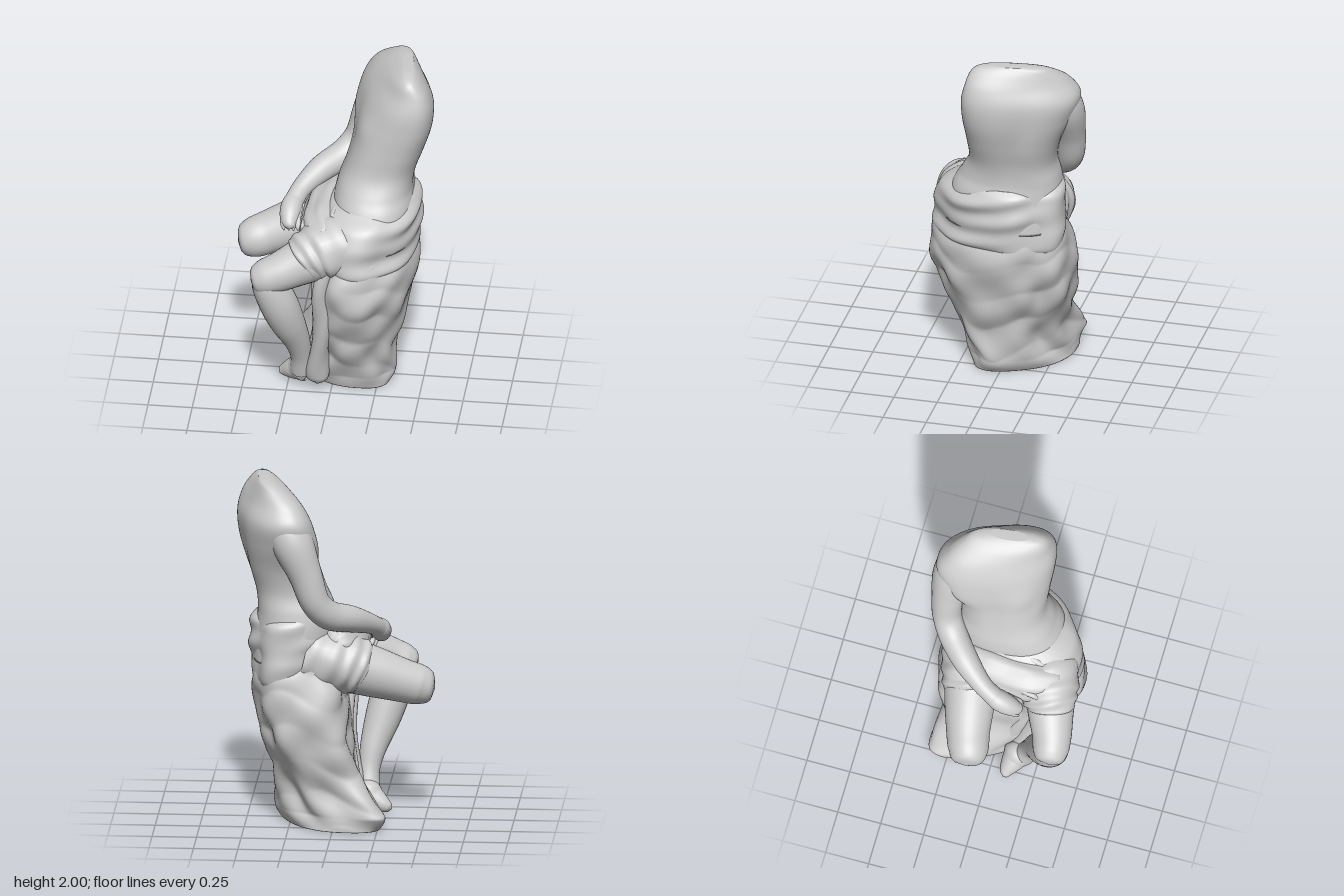
import * as THREE from 'three';
import { mergeVertices } from 'three/addons/utils/BufferGeometryUtils.js';

const material = new THREE.MeshStandardMaterial({ color: 0xcccccc, side: THREE.DoubleSide });
const { sin, cos, abs, sign, sqrt, exp, PI } = Math;
const bump = (d, w) => exp(-(d * d) / (w * w));
// Soft bump around a direction (wraps around the circle)
const lobe = (a, centre, w) => bump(Math.atan2(sin(a - centre), cos(a - centre)), w);

// Smooth interpolation through rows of numbers, t from 0 to 1
function sample(rows, t) {
  const f = t * (rows.length - 1), i = Math.min(Math.floor(f), rows.length - 2), u = f - i;
  const at = k => rows[Math.max(0, Math.min(rows.length - 1, k))];
  return rows[0].map((_, k) => {
    const a = at(i - 1)[k], b = at(i)[k], c = at(i + 1)[k], d = at(i + 2)[k];
    return b + 0.5 * u * (c - a + u * (2 * a - 5 * b + 4 * c - d + u * (3 * (b - c) + d - a)));
  });
}

// Horizontal rings [y, xMin, xMax, zMin, zMax, skew]; relief(angle, y) swells the ring
function loft(rows, relief, power = 0.9, rings = 90, sides = 96) {
  const pos = [], idx = [];
  for (let i = 0; i <= rings; i++) {
    const [y, x0, x1, z0, z1, skew] = sample(rows, i / rings);
    const rx = sqrt(Math.max(0.0004, ((x1 - x0) / 2) ** 2 - skew * skew)), rz = (z1 - z0) / 2;
    for (let j = 0; j < sides; j++) {
      const a = j / sides * 2 * PI, d = relief(a, y);
      const c = sign(cos(a)) * abs(cos(a)) ** power, s = sign(sin(a)) * abs(sin(a)) ** power;
      pos.push((x0 + x1) / 2 + (rx + d) * c + skew * s, y, (z0 + z1) / 2 + (rz + d) * s);
    }
  }
  for (let i = 0; i < rings; i++) for (let j = 0; j < sides; j++) {
    const a = i * sides + j, b = i * sides + (j + 1) % sides;
    idx.push(a, a + sides, b, a + sides, b + sides, b);
  }
  // Flat end caps
  [0, rings].forEach(i => {
    const [y, x0, x1, z0, z1] = sample(rows, i / rings), centre = pos.length / 3;
    pos.push((x0 + x1) / 2, y, (z0 + z1) / 2);
    for (let j = 0; j < sides; j++) {
      const a = i * sides + j, b = i * sides + (j + 1) % sides;
      idx.push(centre, ...(i ? [b, a] : [a, b]));
    }
  });
  const g = new THREE.BufferGeometry();
  g.setAttribute('position', new THREE.Float32BufferAttribute(pos, 3));
  g.setIndex(idx);
  g.computeVertexNormals();
  return g;
}

// Tube through points [x, y, z, radius]; relief(t, angle) swells it
function limb(points, relief = () => 0, steps = 64, sides = 32) {
  const curve = new THREE.CatmullRomCurve3(points.map(p => new THREE.Vector3(p[0], p[1], p[2])), false, 'centripetal');
  const g = new THREE.TubeGeometry(curve, steps, 1, sides, false);
  const pos = g.attributes.position, v = new THREE.Vector3();
  for (let i = 0; i <= steps; i++) {
    const c = curve.getPointAt(i / steps), t = curve.getUtoTmapping(i / steps);
    const r = Math.max(0.002, sample(points, t)[3]);
    for (let j = 0; j <= sides; j++) {
      const k = i * (sides + 1) + j;
      v.fromBufferAttribute(pos, k).sub(c).multiplyScalar(r + relief(t, j / sides * 2 * PI)).add(c);
      pos.setXYZ(k, v.x, v.y, v.z);
    }
  }
  g.deleteAttribute('uv');
  g.deleteAttribute('normal');
  const m = mergeVertices(g, 1e-5);
  m.computeVertexNormals();
  return m;
}

export function createModel() {
  const group = new THREE.Group();
  const add = (name, geometry) => {
    const mesh = new THREE.Mesh(geometry, material);
    mesh.name = name;
    group.add(mesh);
  };

  // Trims the two back corners of the seat and hips
  const trim = a => -0.045 * lobe(a, -PI / 4, 0.4) - 0.025 * lobe(a, PI / 3.2, 0.4);

  // Lumpy rock seat on a flat base, with one square corner at the front right
  const lumps = (a, y) => {
    const fade = Math.min(1, y / 0.08);
    const courses = abs(sin(16 * y + 0.9 * sin(2 * a + 1) + 0.5 * sin(5 * a) + 0.6)) - 0.6;
    const bulges = 0.013 * courses * (0.6 + 0.4 * sin(3 * a + 7 * y))
      + 0.011 * sin(4 * a + 9 * y) * sin(13 * y + 2 * a) + 0.005 * sin(7 * a - 15 * y);
    return fade * (bulges - 0.006 + trim(a)) + 0.085 * fade * lobe(a, -0.75 * PI, 0.42);
  };
  add('rock', loft([
    [0, -0.25, 0.30, -0.35, 0.18, 0.12], [0.08, -0.24, 0.34, -0.35, 0.22, 0.09],
    [0.25, -0.14, 0.35, -0.32, 0.29, 0.02], [0.45, -0.09, 0.41, -0.36, 0.37, -0.03],
    [0.65, -0.08, 0.46, -0.38, 0.44, -0.05], [0.80, -0.06, 0.48, -0.37, 0.44, -0.06],
    [0.95, 0.02, 0.45, -0.33, 0.38, -0.06],
  ], lumps, 0.82));

  // Torso leaning back, hollow along the spine, cut at neck and left shoulder
  const muscles = (a, y) => -0.012 * lobe(a, -0.1, 0.25) * bump(y - 1.5, 0.3)
    + 0.012 * (lobe(a, PI - 0.55, 0.3) + lobe(a, PI + 0.55, 0.3)) * bump(y - 1.63, 0.09)
    - 0.008 * lobe(a, PI, 0.2) * bump(y - 1.55, 0.2);
  add('torso', loft([
    [0.95, -0.02, 0.46, -0.34, 0.34, -0.02], [1.15, -0.01, 0.45, -0.34, 0.29, 0],
    [1.25, 0.01, 0.44, -0.33, 0.235, 0], [1.36, 0.05, 0.455, -0.31, 0.182, 0.01],
    [1.50, 0.085, 0.50, -0.34, 0.18, 0.03], [1.65, 0.10, 0.54, -0.41, 0.188, 0.07],
    [1.78, 0.13, 0.55, -0.45, 0.188, 0.09], [1.88, 0.19, 0.525, -0.395, 0.165, 0.09],
    [1.95, 0.27, 0.485, -0.325, 0.14, 0.055], [1.985, 0.33, 0.455, -0.27, 0.10, 0.03],
    [2.0, 0.37, 0.435, -0.18, 0.03, 0.01],
  ], muscles, 0.86));

  // Right arm bent at the elbow, with the hand resting across the lap
  add('rightArm', limb([
    [0.31, 1.83, -0.27, 0.02], [0.28, 1.79, -0.31, 0.10], [0.225, 1.68, -0.345, 0.118],
    [0.15, 1.50, -0.36, 0.095], [0.09, 1.33, -0.35, 0.083], [0.02, 1.25, -0.30, 0.083],
    [-0.10, 1.20, -0.19, 0.075], [-0.20, 1.14, -0.06, 0.056], [-0.235, 1.10, 0.02, 0.055],
  ]));
  add('rightHand', limb([
    [-0.21, 1.13, -0.04, 0.03], [-0.235, 1.10, 0.02, 0.057], [-0.245, 1.07, 0.08, 0.06],
    [-0.245, 1.04, 0.13, 0.05], [-0.24, 1.02, 0.165, 0.03], [-0.24, 1.01, 0.175, 0.003],
  ]));
  for (let i = 0; i < 4; i++) {
    const x = -0.275 + 0.027 * i;
    add('finger', limb([
      [x, 1.08, 0.06, 0.016], [x - 0.005, 1.05, 0.12, 0.018],
      [x, 1.02, 0.155, 0.016], [x + 0.005, 1.0, 0.172, 0.003],
    ], undefined, 14, 10));
  }

  // Right thigh, broken off at the knee
  add('rightThigh', limb([
    [0.20, 0.99, -0.18, 0.15], [0, 0.95, -0.17, 0.16], [-0.22, 0.88, -0.13, 0.143],
    [-0.38, 0.825, -0.095, 0.123], [-0.47, 0.795, -0.07, 0.114], [-0.53, 0.775, -0.065, 0.088],
    [-0.552, 0.77, -0.063, 0.05], [-0.558, 0.768, -0.062, 0.002],
  ]));

  // Left leg: thigh, knee, calf, ankle and foot
  add('leftThigh', limb([
    [0.22, 1.0, 0.20, 0.16], [0.02, 0.965, 0.27, 0.155], [-0.16, 0.89, 0.325, 0.13],
    [-0.28, 0.84, 0.365, 0.111], [-0.36, 0.81, 0.38, 0.1], [-0.41, 0.795, 0.388, 0.075],
    [-0.428, 0.79, 0.39, 0.04], [-0.432, 0.789, 0.391, 0.002],
  ]));
  add('leftShin', limb([
    [-0.35, 0.89, 0.38, 0.01], [-0.345, 0.86, 0.38, 0.06], [-0.335, 0.78, 0.375, 0.095],
    [-0.285, 0.64, 0.35, 0.108], [-0.24, 0.50, 0.31, 0.1], [-0.19, 0.34, 0.25, 0.075],
    [-0.17, 0.22, 0.21, 0.06], [-0.17, 0.10, 0.17, 0.065],
  ]));
  add('leftFoot', limb([
    [-0.10, 0.09, 0.14, 0.04], [-0.16, 0.10, 0.14, 0.085], [-0.21, 0.075, 0.12, 0.068],
    [-0.26, 0.05, 0.10, 0.046], [-0.295, 0.035, 0.09, 0.024], [-0.305, 0.03, 0.085, 0.002],
  ]));

  // Cloth wrapped around the hips, with sagging folds
  const folds = (a, y) => {
    const sag = y + 0.045 * sin(a + 0.6) + 0.015 * sin(3 * a);
    return trim(a) + 0.006 * sin(50 * sag) * (0.6 + 0.4 * sin(2 * a + 1)) + 0.005 * sin(27 * sag + 3 * a);
  };
  add('hipCloth', loft([
    [0.80, 0.02, 0.44, -0.33, 0.38, -0.06], [0.85, -0.03, 0.475, -0.36, 0.43, -0.07],
    [0.93, -0.04, 0.475, -0.365, 0.425, -0.07], [1.03, -0.04, 0.485, -0.365, 0.41, -0.06],
    [1.12, -0.04, 0.485, -0.365, 0.375, -0.04], [1.18, 0, 0.475, -0.355, 0.28, -0.02],
    [1.215, 0.03, 0.44, -0.33, 0.22, 0],
  ], folds));

  // Cloth gathered around each thigh, thinning towards the hem
  const gathers = (t, a) => 0.005 * sin(30 * t + 2 * sin(a)) + 0.003 * sin(5 * a + 12 * t);
  add('leftThighCloth', limb([
    [0.16, 1.0, 0.18, 0.17], [0.03, 0.975, 0.26, 0.172], [-0.07, 0.945, 0.29, 0.16],
    [-0.13, 0.915, 0.31, 0.145], [-0.15, 0.90, 0.315, 0.125],
  ], gathers));
  add('rightThighCloth', limb([
    [0.16, 0.99, -0.18, 0.165], [0.03, 0.96, -0.18, 0.172], [-0.07, 0.935, -0.165, 0.167],
    [-0.14, 0.91, -0.15, 0.156], [-0.16, 0.90, -0.145, 0.135],
  ], gathers));

  // Cloth filling the lap, with folds running between the thighs
  add('lapCloth', limb([
    [0.02, 1.05, -0.28, 0.01], [0, 1.05, -0.24, 0.10], [-0.02, 1.03, -0.10, 0.145],
    [-0.03, 1.02, 0.05, 0.15], [-0.03, 1.02, 0.20, 0.14], [0, 1.03, 0.33, 0.09], [0.01, 1.03, 0.36, 0.01],
  ], (t, a) => 0.008 * sin(9 * a + 5 * t) * sin(PI * t)));
  for (let i = 0; i < 4; i++) {
    const x = -0.13 + i * 0.055, y = 1.08 + i * 0.025;
    add('lapFold', limb([
      [x - 0.03, y - 0.06, 0.30, 0.004], [x - 0.02, y - 0.01, 0.20, 0.022],
      [x + 0.01, y, 0.08, 0.026], [x + 0.05, y, -0.05, 0.022], [x + 0.09, y - 0.02, -0.15, 0.004],
    ], undefined, 24, 12));
  }

  // Cloth hanging beside the shin in vertical pleats
  for (let i = 0; i < 3; i++) {
    const z = 0.35 - i * 0.075, x = -0.04 - 0.012 * (i % 2);
    add('hangingPleat', limb([
      [x + 0.02, 0.90, z, 0.05], [x, 0.72, z, 0.05], [x, 0.50, z - 0.04, 0.05],
      [x - 0.02, 0.28, z - 0.10, 0.055], [x - 0.04, 0.08, z - 0.15, 0.06], [x - 0.04, 0.03, z - 0.16, 0.01],
    ], (t, a) => 0.005 * sin(14 * t + i + 2 * a), 36, 16));
  }
  return group;
}
